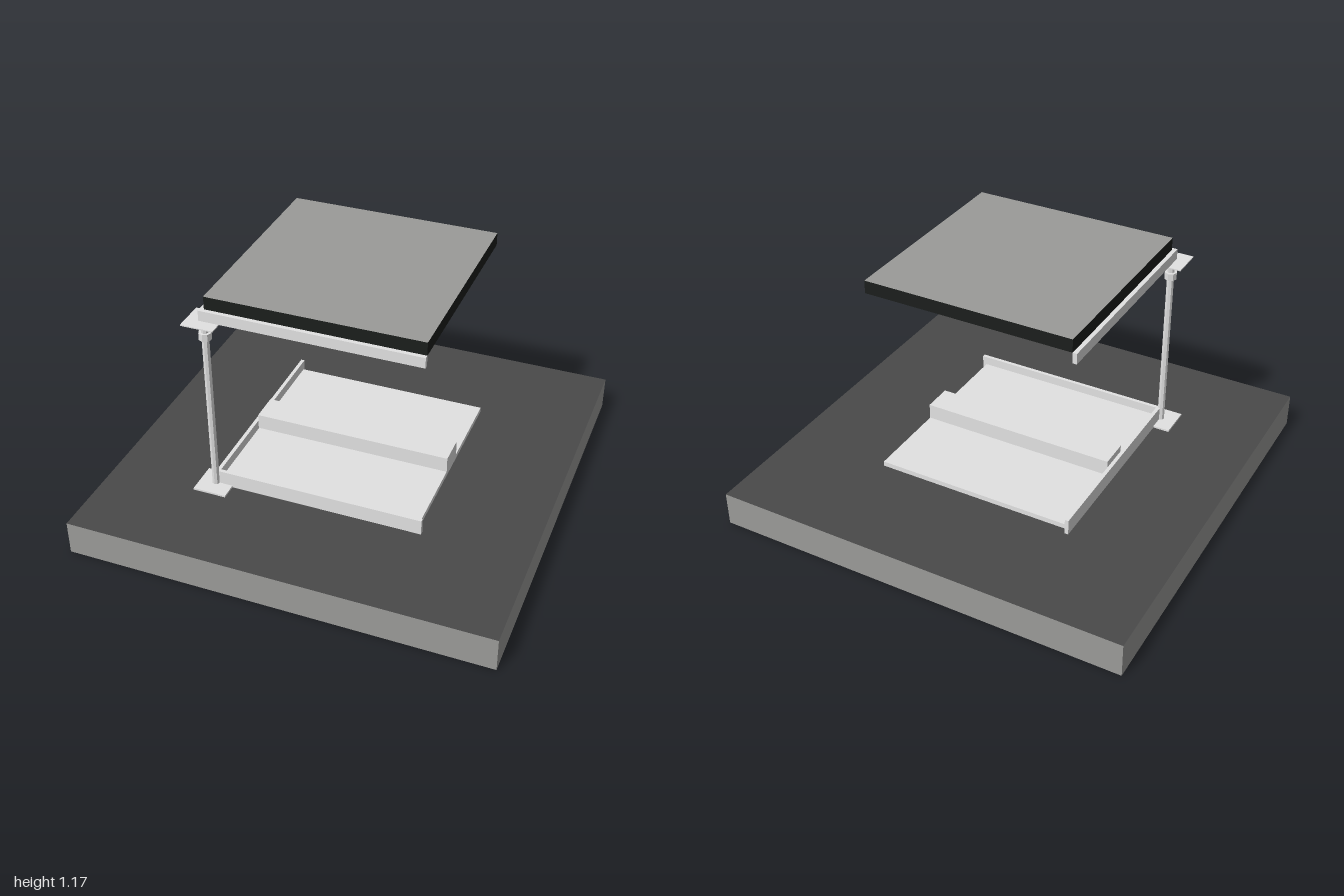
import * as THREE from 'three';

const mat = (name, color) => {
  const m = new THREE.MeshStandardMaterial({ color });
  m.name = name;
  return m;
};

export function createModel() {
  const model = new THREE.Group();
  model.name = 'cornerPostShelter';

  const asphalt = mat('asphalt', 0x4a4a4a);
  const concrete = mat('concrete', 0x9b9b99);
  const steel = mat('lightSteel', 0xe2e2e2);
  const black = mat('blackGreen', 0x1b1e1c);

  // Box given by its limits on each axis
  const box = (name, [x0, x1], [y0, y1], [z0, z1], material) => {
    const mesh = new THREE.Mesh(new THREE.BoxGeometry(x1 - x0, y1 - y0, z1 - z0), material);
    mesh.position.set((x0 + x1) / 2, (y0 + y1) / 2, (z0 + z1) / 2);
    mesh.name = name;
    model.add(mesh);
  };

  // Upright eight-sided piece on the corner post axis
  const round = (name, r, y0, y1) => {
    const geo = new THREE.CylinderGeometry(r, r, y1 - y0, 8).toNonIndexed();
    geo.computeVertexNormals();
    const mesh = new THREE.Mesh(geo, steel);
    mesh.position.set(-0.502, (y0 + y1) / 2, 0.502);
    mesh.name = name;
    model.add(mesh);
  };

  // Ground slab: dark top, grey sides and bottom
  box('groundSlab', [-1, 1], [0, 0.165], [-1, 1],
    [concrete, concrete, asphalt, concrete, concrete, concrete]);

  // Floor tray with two side rails and a central beam
  box('floorPlate', [-0.48, 0.48], [0.173, 0.197], [-0.48, 0.482], steel);
  box('floorRailFront', [-0.5, 0.5], [0.165, 0.24], [0.482, 0.5], steel);
  box('floorRailSide', [-0.5, -0.482], [0.165, 0.24], [-0.5, 0.482], steel);
  box('centralBeam', [-0.482, 0.48], [0.197, 0.273], [-0.072, 0.072], steel);

  // Corner post with foot plate, collar and head plate
  box('footPlate', [-0.58, -0.42], [0.165, 0.174], [0.42, 0.58], steel);
  round('post', 0.0175, 0.174, 1.054);
  round('collar', 0.03, 0.962, 0.996);
  box('headPlate', [-0.578, -0.425], [1.053, 1.058], [0.425, 0.578], steel);

  // Roof rails along two edges
  box('roofRailFront', [-0.52, 0.5], [1.058, 1.108], [0.5, 0.52], steel);
  box('roofRailSide', [-0.52, -0.5], [1.058, 1.108], [-0.5, 0.5], steel);

  // Roof slab: grey top, dark edges and underside, inset panel beneath
  box('roofSlab', [-0.5, 0.5], [1.108, 1.17], [-0.5, 0.5],
    [black, black, concrete, black, black, black]);
  box('roofUnderPanel', [-0.46, 0.46], [1.082, 1.103], [-0.46, 0.46], black);

  return model;
}
